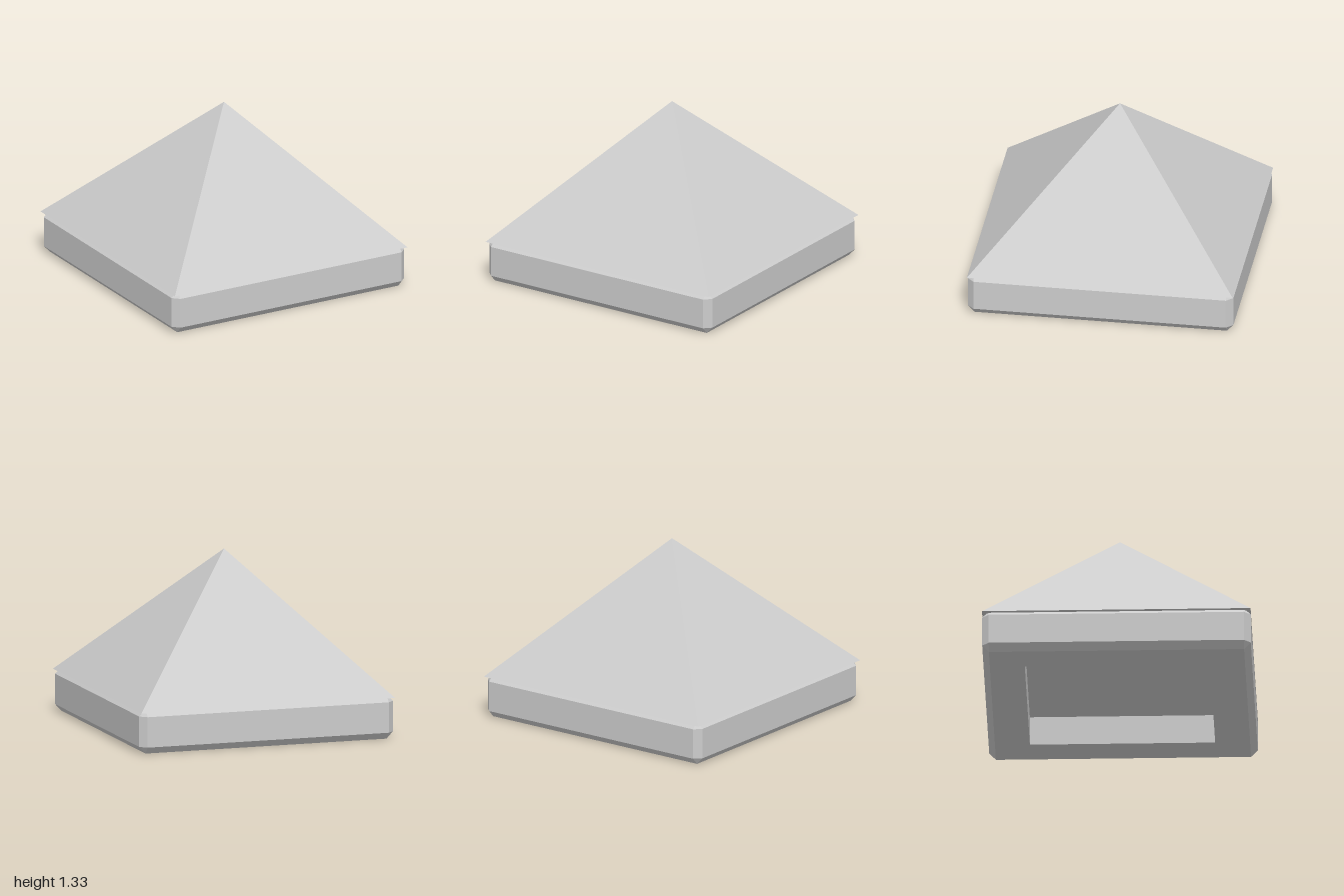
import * as THREE from 'three';

// Ring of 8 points: a square of half-width h whose corners are cut back to c.
// With c equal to h the ring is a plain square.
function ring(h, c, y) {
  const points = [];
  let p = [[-c, h], [c, h]];
  for (let side = 0; side < 4; side++) {
    p.forEach(([x, z]) => points.push(new THREE.Vector3(x, y, z)));
    p = p.map(([x, z]) => [z, -x]);
  }
  return points;
}

// Joins successive rings with flat faces, leaving out triangles without area.
function skin(rings) {
  const positions = [];
  const triangle = (a, b, c) => {
    if (new THREE.Triangle(a, b, c).getArea() < 1e-7) return;
    [a, b, c].forEach((v) => positions.push(v.x, v.y, v.z));
  };
  for (let i = 0; i < rings.length - 1; i++) {
    const low = rings[i];
    const high = rings[i + 1];
    for (let j = 0; j < 8; j++) {
      const k = (j + 1) % 8;
      triangle(low[j], low[k], high[k]);
      triangle(low[j], high[k], high[j]);
    }
  }
  const geometry = new THREE.BufferGeometry();
  geometry.setAttribute('position', new THREE.Float32BufferAttribute(positions, 3));
  geometry.computeVertexNormals();
  return geometry;
}

export function createModel() {
  const group = new THREE.Group();
  group.name = 'pyramidCap';

  const lightGrey = new THREE.MeshStandardMaterial({ color: 0xcccccc });
  lightGrey.name = 'lightGrey';

  // Chamfered base with a square recess underneath
  const base = new THREE.Mesh(skin([
    ring(0, 0, 0.225),       // recess ceiling
    ring(0.69, 0.69, 0.225),
    ring(0.69, 0.69, 0),     // recess rim
    ring(0.95, 0.95, 0),     // underside edge
    ring(1, 0.95, 0.053),    // side walls
    ring(1, 0.95, 0.283),
    ring(0.95, 0.95, 0.333), // upper chamfer, running into the roof
    ring(0, 0, 0.333),
  ]), lightGrey);
  base.name = 'base';
  group.add(base);

  // Four-sided roof
  const bottom = 0.313;
  const height = 1.02;
  const roofGeometry = new THREE.ConeGeometry(Math.SQRT2, height, 4)
    .rotateY(Math.PI / 4)
    .translate(0, bottom + height / 2, 0)
    .toNonIndexed();
  roofGeometry.computeVertexNormals();
  const roof = new THREE.Mesh(roofGeometry, lightGrey);
  roof.name = 'roof';
  group.add(roof);

  return group;
}
